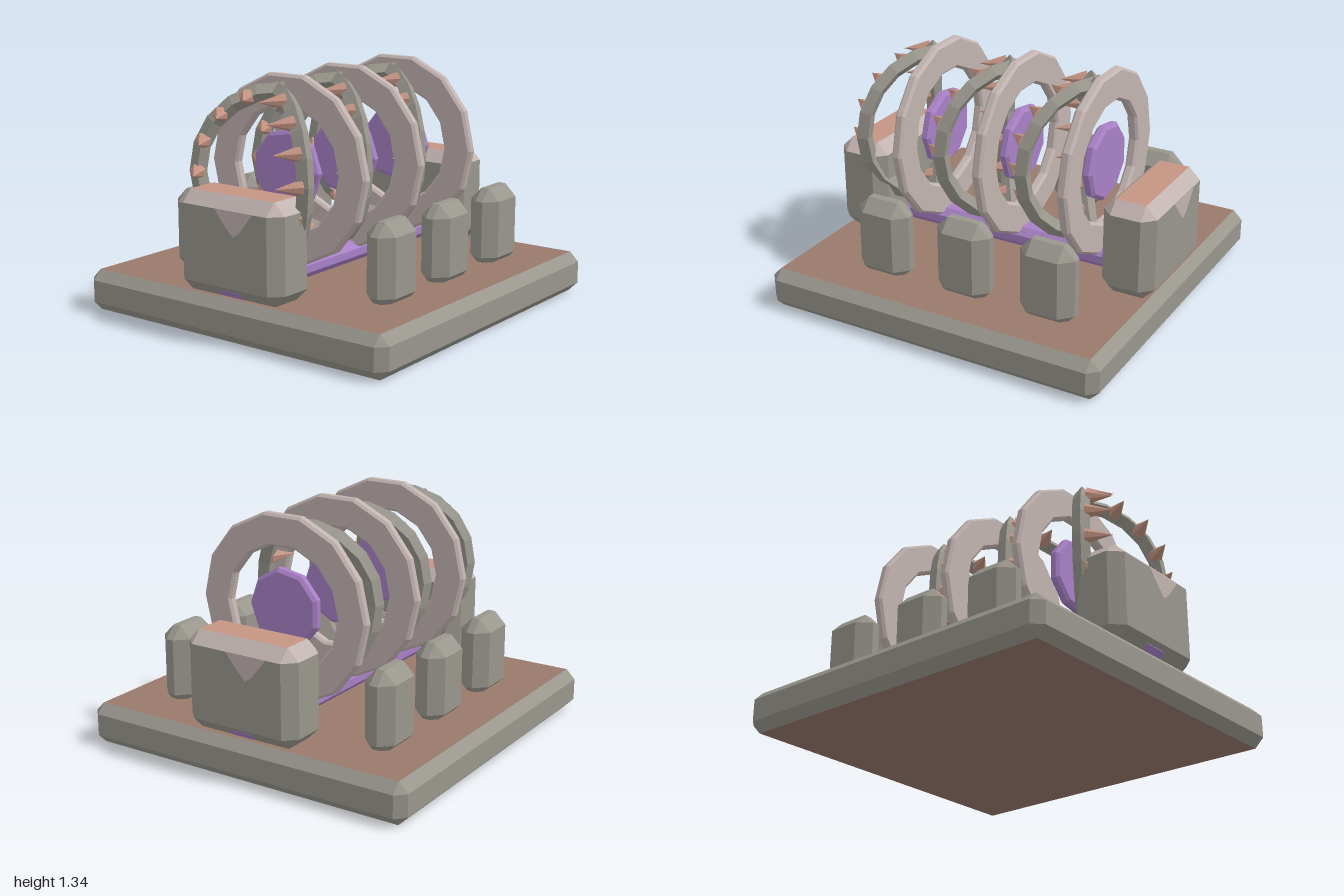
import * as THREE from 'three';
import { mergeGeometries } from 'three/addons/utils/BufferGeometryUtils.js';
import { ConvexGeometry } from 'three/addons/geometries/ConvexGeometry.js';

const colour = (name, color) => Object.assign(new THREE.MeshStandardMaterial({ color }), { name });
const stone = colour('grey stone', 0x99968d);
const earth = colour('brown earth', 0x997a6c);
const clay = colour('salmon clay', 0xc49483);
const pale = colour('pale pink stone', 0xc2b4b1);
const violet = colour('violet', 0xa880c6);

// Faceted normals
function facet(geo) {
  const g = geo.index ? geo.toNonIndexed() : geo;
  g.computeVertexNormals();
  return g;
}

function add(parent, name, geo, mat, x = 0, y = 0, z = 0) {
  const mesh = new THREE.Mesh(geo, mat);
  mesh.name = name;
  mesh.position.set(x, y, z);
  parent.add(mesh);
  return mesh;
}

// Box standing on y = 0 with every edge chamfered by c
function chamferBox(w, h, d, c) {
  const pts = [];
  for (const sx of [-1, 1]) for (const sy of [-1, 1]) for (const sz of [-1, 1]) {
    for (let face = 0; face < 3; face++) {
      const k = [c, c, c];
      k[face] = 0;
      pts.push(new THREE.Vector3(sx * (w / 2 - k[0]), h / 2 + sy * (h / 2 - k[1]), sz * (d / 2 - k[2])));
    }
  }
  return facet(new ConvexGeometry(pts));
}

// Gives each triangle a material index chosen from the height of its normal
function paint(geo, pick) {
  const n = geo.attributes.normal;
  for (let i = 0; i < n.count; i += 3) geo.addGroup(i, 3, pick(n.getY(i)));
  return geo;
}

// Turned solid whose axis points along z, with a corner at +x
function turned(profile, sides) {
  const pts = profile.map(([r, y]) => new THREE.Vector2(r, y));
  return facet(new THREE.LatheGeometry(pts, sides, Math.PI / 2).rotateX(Math.PI / 2));
}

const R = 0.43, TUBE = 0.047, SPREAD = THREE.MathUtils.degToRad(33), AXIS_Y = 0.83;

// Half hoop of diamond section with closed ends, bulging to the given side
function hoopGeometry(side) {
  const over = 0.068, arc = Math.PI + 2 * over;
  const parts = [
    new THREE.TorusGeometry(R, TUBE, 4, 10, arc),
    new THREE.CircleGeometry(TUBE, 4).rotateX(Math.PI / 2).translate(R, 0, 0),
    new THREE.CircleGeometry(TUBE, 4).rotateX(-Math.PI / 2).translate(R, 0, 0).rotateZ(arc),
  ];
  const start = side > 0 ? -Math.PI / 2 - over : Math.PI / 2 - over;
  return facet(mergeGeometries(parts).rotateZ(start));
}

// Spiked half hoop swung forward about the vertical axis
function jaw(side, spikeGeo) {
  const group = new THREE.Group();
  group.name = side > 0 ? 'leftJaw' : 'rightJaw';
  add(group, 'jawHoop', hoopGeometry(side), stone);
  for (let i = -3; i <= 3; i++) {
    const a = i * Math.PI / 8;
    add(group, 'spike', spikeGeo, clay, side * R * Math.cos(a), R * Math.sin(a), 0.02);
  }
  group.rotation.y = -side * SPREAD;
  return group;
}

export function createModel() {
  const model = new THREE.Group();
  model.name = 'spikedHoopShrine';

  // Plinth with earth on its top and underside
  const plinth = paint(chamferBox(2, 0.23, 2, 0.053), (y) => (Math.abs(y) > 0.99 ? 1 : 0));
  add(model, 'plinth', plinth, [stone, earth]);

  // Rail running between the end blocks
  add(model, 'rail', chamferBox(0.22, 0.118, 1.92, 0.038), violet, 0, 0.232, 0);

  // End blocks: clay top, pale shoulders, pale streak on the outer face
  const blockGeo = paint(chamferBox(0.69, 0.54, 0.304, 0.066),
    (y) => (y > 0.99 ? 2 : y > 0.3 ? 1 : 0));
  const streakGeo = new THREE.ShapeGeometry(new THREE.Shape([
    [-0.06, 0.474], [0, 0.4], [0.06, 0.34], [0.1, 0.365], [0.19, 0.474],
  ].map(([x, y]) => new THREE.Vector2(x, y))));
  for (const end of [1, -1]) {
    const block = new THREE.Group();
    block.name = end > 0 ? 'frontBlock' : 'backBlock';
    add(block, 'blockBody', blockGeo, [stone, pale, clay]);
    add(block, 'paleStreak', streakGeo, pale, 0, 0, 0.154);
    block.position.set(0, 0.23, end * 0.83);
    if (end < 0) block.rotation.y = Math.PI;
    model.add(block);
  }

  // Standing stones along both sides
  const stoneGeo = chamferBox(0.18, 0.455, 0.318, 0.068);
  for (const x of [-0.655, 0.655]) for (const z of [-0.56, -0.06, 0.44]) {
    add(model, 'standingStone', stoneGeo, stone, x, 0.195, z);
  }

  // Three gates: ring, floating disc and a pair of spiked jaws
  const b = 0.014, h = 0.03, ro = 0.52, ri = 0.342;
  const ringGeo = turned([
    [ri + b, -h], [ro - b, -h], [ro, b - h], [ro, h - b],
    [ro - b, h], [ri + b, h], [ri, h - b], [ri, b - h], [ri + b, -h],
  ], 14);
  const discGeo = turned([
    [0, -0.03], [0.2, -0.03], [0.22, -0.015], [0.22, 0.015], [0.2, 0.03], [0, 0.03],
  ], 9);
  const spikeGeo = facet(new THREE.ConeGeometry(0.043, 0.145, 7).translate(0, 0.0725, 0).rotateX(Math.PI / 2));
  for (const z of [0.457, -0.045, -0.547]) {
    const gate = new THREE.Group();
    gate.name = 'gate';
    add(gate, 'ring', ringGeo, pale);
    add(gate, 'disc', discGeo, violet, 0, 0, 0.01);
    for (const side of [1, -1]) {
      const j = jaw(side, spikeGeo);
      j.position.z = 0.08;
      gate.add(j);
    }
    gate.position.set(0, AXIS_Y, z);
    model.add(gate);
  }
  return model;
}
